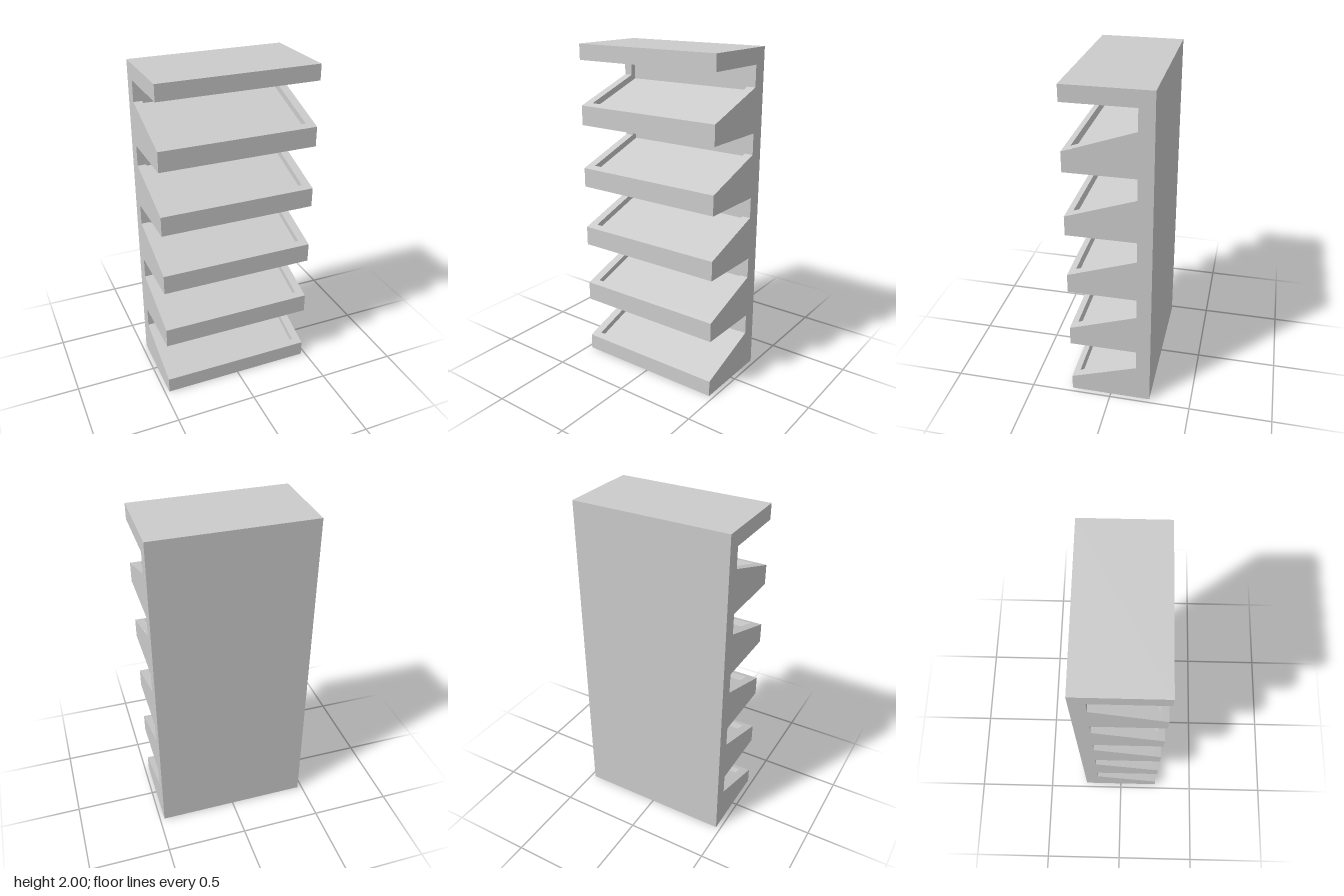
import * as THREE from 'three';
import { mergeGeometries } from 'three/addons/utils/BufferGeometryUtils.js';

const W = 0.472, IN = 0.42;            // half width, half width of the recesses
const F = 0.247, B = -0.247;           // front and back planes
const BAYS = 5, PITCH = 0.3855, FIRST = 0.098;

// Flat strip swept along x between x0 and x1, following [z, y] points
function ribbon(points, x0, x1) {
  const pos = [];
  for (let i = 0; i < points.length - 1; i++) {
    const [z0, y0] = points[i], [z1, y1] = points[i + 1];
    pos.push(x0, y0, z0, x1, y0, z0, x1, y1, z1);
    pos.push(x0, y0, z0, x1, y1, z1, x0, y1, z1);
  }
  const g = new THREE.BufferGeometry();
  g.setAttribute('position', new THREE.Float32BufferAttribute(pos, 3));
  g.computeVertexNormals();
  return g;
}

// Flat wall in the plane x, facing dir (+1 or -1), outlined by [z, y] points
function wall(points, x, dir) {
  const shape = new THREE.Shape(points.map(([z, y]) => new THREE.Vector2(-dir * z, y)));
  const g = new THREE.ShapeGeometry(shape).toNonIndexed();
  g.deleteAttribute('uv');
  return g.rotateY(dir * Math.PI / 2).translate(x, 0, 0);
}

// Side profile points of one bay whose front lip is at height y
function bay(y) {
  const at = (z, h) => [z, y + h];
  const lip = at(F, 0), lipIn = at(0.207, 0.014);
  const top = at(F, 0.267), topIn = at(0.207, 0.267);
  const rim = [lipIn, at(-0.16, 0.142), at(-0.16, 0.267), topIn];
  const recess = [lipIn, at(0.1955, -0.019), at(-0.195, 0.117),
    at(-0.195, 0.302), at(0.207, 0.302), topIn];
  return { lip, lipIn, top, topIn, rim, recess };
}

export function createModel() {
  const group = new THREE.Group();
  const material = new THREE.MeshStandardMaterial({ color: 0xcccccc, flatShading: true });
  const add = (name, parts) => {
    const mesh = new THREE.Mesh(mergeGeometries(parts), material);
    mesh.name = name;
    group.add(mesh);
  };

  const bays = Array.from({ length: BAYS }, (_, i) => bay(FIRST + i * PITCH));
  const last = bays[BAYS - 1];

  // Back panel, base and top slab
  add('backBaseAndTop', [ribbon([
    last.topIn, last.top, [F, 2], [B, 2], [B, 0], [F, 0], bays[0].lip, bays[0].lipIn,
  ], -W, W)]);

  // Stepped side faces
  const outline = [[B, 0], [F, 0]];
  bays.forEach((b) => outline.push(b.lip, ...b.rim.slice(1, 3), b.top));
  outline.push([F, 2], [B, 2]);
  add('leftSide', [wall(outline, W, 1)]);
  add('rightSide', [wall(outline, -W, -1)]);

  bays.forEach((b, i) => {
    // Front edge of the shelf between two bays
    if (i > 0) {
      const below = bays[i - 1];
      add('shelfFront', [ribbon([below.topIn, below.top, b.lip, b.lipIn], -W, W)]);
    }
    // Raised border on both sides of the bay
    add('bayRim', [ribbon(b.rim, IN, W), ribbon(b.rim, -W, -IN)]);
    // Sunken sloping tray, back and ceiling, with their side walls
    const side = [...b.rim, ...b.recess.slice(1, -1).reverse()];
    add('bayRecess', [ribbon(b.recess, -IN, IN), wall(side, IN, -1), wall(side, -IN, 1)]);
  });

  return group;
}
